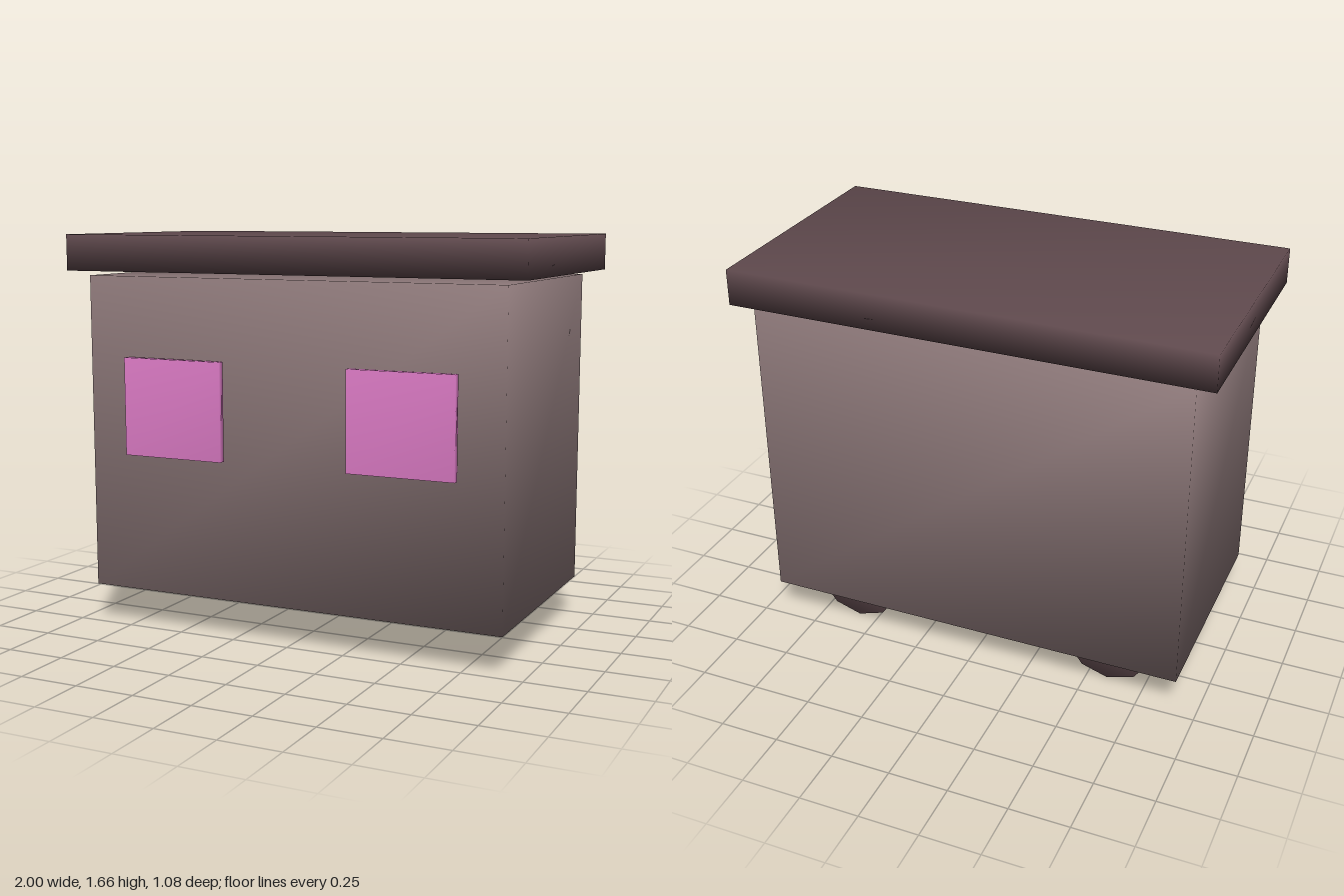
import * as THREE from 'three';
import { mergeVertices } from 'three/addons/utils/BufferGeometryUtils.js';

// Weld shared corners so the shading runs smoothly across the edges
function weld(geometry) {
  geometry.deleteAttribute('normal');
  geometry.deleteAttribute('uv');
  const welded = mergeVertices(geometry, 1e-4);
  welded.computeVertexNormals();
  return welded;
}

export function createModel() {
  const model = new THREE.Group();
  model.name = 'hut';

  const material = (name, color) => {
    const m = new THREE.MeshStandardMaterial({ color });
    m.name = name;
    return m;
  };
  const wallMaterial = material('dusty mauve', 0x8f7a7b);
  const roofMaterial = material('dark mauve', 0x5f494d);
  const windowMaterial = material('pink', 0xde7cc7);

  const add = (name, geometry, mat, x, y, z) => {
    const mesh = new THREE.Mesh(weld(geometry), mat);
    mesh.name = name;
    mesh.position.set(x, y, z);
    model.add(mesh);
  };

  // Body and the overhanging roof slab, with a narrow gap between them
  add('body', new THREE.BoxGeometry(1.83, 1.325, 0.99), wallMaterial, 0, 0.828, 0.003);
  add('roof', new THREE.BoxGeometry(2, 0.15, 1.075), roofMaterial, 0, 1.585, 0.002);

  // Matching window panels and rear wheels on both sides
  for (const [label, side] of [['left', 1], ['right', -1]]) {
    add(label + 'Window', new THREE.BoxGeometry(0.45, 0.408, 0.03), windowMaterial,
      side * 0.504, 0.953, 0.522);

    // Ten-sided wheel, mostly tucked inside the body
    const wheel = new THREE.CylinderGeometry(0.196, 0.196, 0.085, 10).rotateX(Math.PI / 2);
    add(label + 'Wheel', wheel, roofMaterial, side * 0.588, 0.198, -0.333);
  }

  return model;
}
